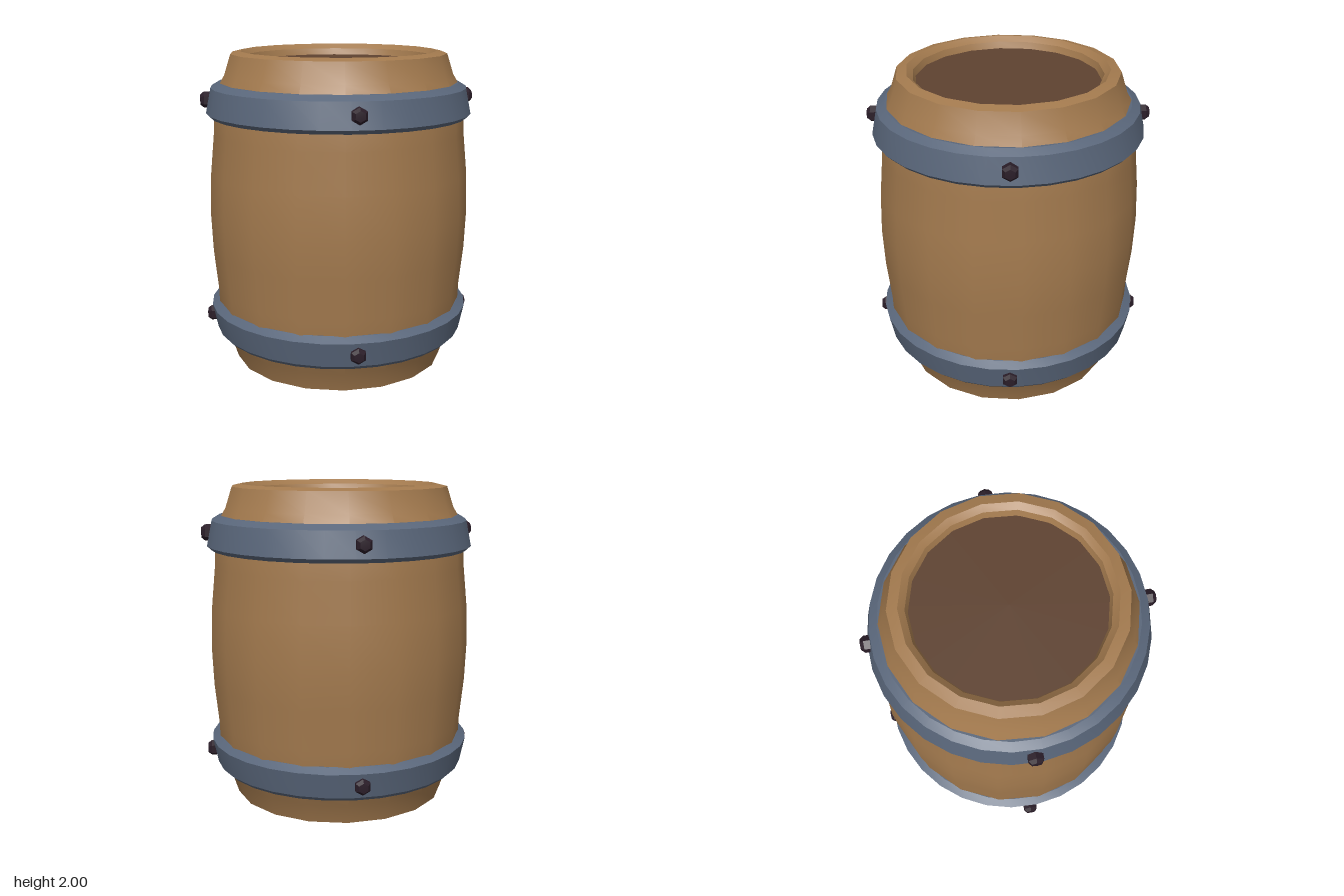
import * as THREE from 'three';
import { toCreasedNormals } from 'three/addons/utils/BufferGeometryUtils.js';

const mat = (name, color) => {
  const m = new THREE.MeshStandardMaterial({ color });
  m.name = name;
  return m;
};

// Lathe a profile (outer side listed upwards) and keep its hard edges sharp
function turned(profile, sides, crease = 0.42) {
  const points = profile.map(([r, y]) => new THREE.Vector2(r, y));
  return toCreasedNormals(new THREE.LatheGeometry(points, sides), crease);
}

export function createModel() {
  const wood = mat('wood', 0xa37a4e);
  const darkWood = mat('dark wood', 0x5e4230);
  const iron = mat('iron', 0x59667a);
  const boltMetal = mat('bolt metal', 0x2a1d28);

  const group = new THREE.Group();
  const add = (name, geometry, material, parent = group) => {
    const mesh = new THREE.Mesh(geometry, material);
    mesh.name = name;
    parent.add(mesh);
    return mesh;
  };

  // Body: upper half of the wall from the belly to the inside, mirrored below
  const upper = [
    [0.825, 1], [0.815, 1.25], [0.79, 1.5], [0.785, 1.65], [0.755, 1.79],
    [0.715, 1.86], [0.675, 1.985], [0.612, 2], [0.575, 1.97], [0.55, 1.9],
  ];
  const lower = upper.slice(1).reverse().map(([r, y]) => [r, 2 - y]);
  add('barrelBody', turned([...lower, ...upper], 18), wood);

  // Recessed lids at both ends
  for (const s of [1, -1]) {
    const lid = add(s > 0 ? 'topLid' : 'bottomLid', new THREE.CircleGeometry(0.565, 20), darkWood);
    lid.rotation.x = -s * Math.PI / 2;
    lid.position.y = s > 0 ? 1.93 : 0.035;
  }

  // Hoops: wider towards the belly, each with four bolts on the diagonals
  const boltGeometry = turned([[0.05, -0.03], [0.05, 0.018], [0.032, 0.04], [0, 0.042]], 6, 0.3);
  boltGeometry.rotateX(Math.PI / 2);
  for (const s of [1, -1]) {
    const hoop = new THREE.Group();
    hoop.name = s > 0 ? 'upperHoop' : 'lowerHoop';
    hoop.position.y = s > 0 ? 1.705 : 0.305;
    group.add(hoop);

    const low = s > 0 ? 0.832 : 0.8;
    const high = s > 0 ? 0.8 : 0.832;
    const band = add('band', turned([
      [0.72, -0.105], [low - 0.025, -0.105], [low, -0.08], [high, 0.075], [high - 0.05, 0.105], [0.70, 0.105],
    ], 30), iron, hoop);
    band.rotation.y = Math.PI / 2;

    for (let i = 0; i < 4; i++) {
      const a = Math.PI / 4 + i * Math.PI / 2;
      const bolt = add('bolt', boltGeometry, boltMetal, hoop);
      bolt.position.set(Math.sin(a) * 0.822, 0, Math.cos(a) * 0.822);
      bolt.rotation.y = a;
    }
  }
  return group;
}
